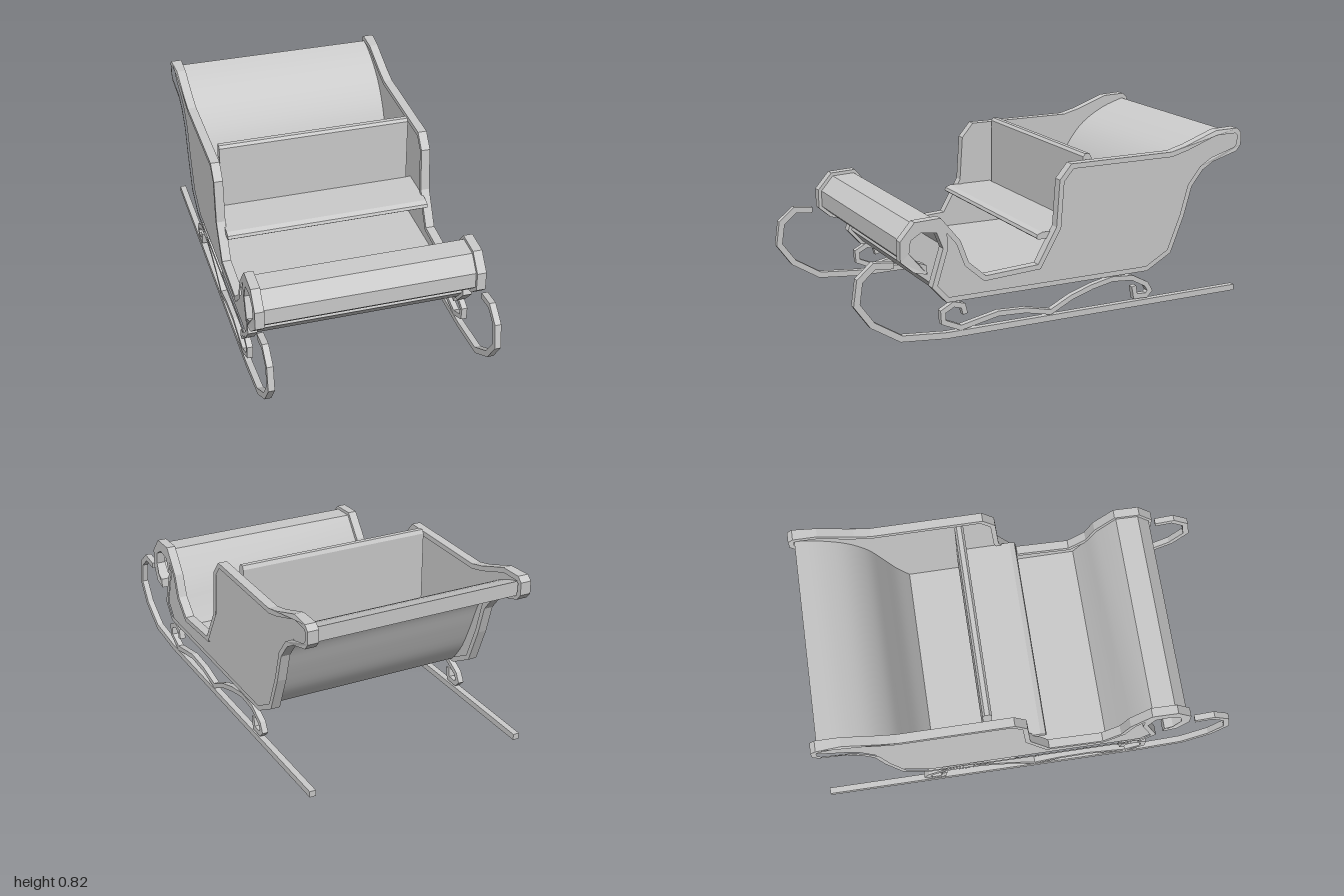
import * as THREE from 'three';
import { toCreasedNormals } from 'three/addons/utils/BufferGeometryUtils.js';

const material = new THREE.MeshStandardMaterial({ color: 0xcccccc });

// Profiles are lists of [z, y]; the side outline runs over the top to the front and back underneath.
const topEdge = [[-1, 0.8], [-0.975, 0.823], [-0.86, 0.82], [-0.69, 0.76], [-0.61, 0.74], [-0.07, 0.74],
  [-0.01, 0.67], [0.005, 0.45], [0.1, 0.285], [0.365, 0.27], [0.45, 0.345], [0.49, 0.45], [0.585, 0.565]];
const frontCurl = [[0.71, 0.56], [0.78, 0.48], [0.78, 0.388], [0.72, 0.335], [0.655, 0.318], [0.66, 0.362],
  [0.7, 0.378], [0.738, 0.42], [0.73, 0.48], [0.68, 0.51], [0.605, 0.5]];
const bottomEdge = [[0.575, 0.425], [0.63, 0.25], [0.56, 0.172], [-0.49, 0.172], [-0.62, 0.245], [-0.69, 0.42],
  [-0.73, 0.56], [-0.79, 0.635], [-0.85, 0.67], [-0.975, 0.71], [-1, 0.74]];
const outline = [...topEdge, ...frontCurl, ...bottomEdge];

// Shifts a path to its right-hand side by d, with mitred corners
function offset(points, d, closed) {
  const n = points.length;
  const normal = (a, b) => {
    const dx = b[0] - a[0], dy = b[1] - a[1], l = Math.hypot(dx, dy);
    return [dy / l, -dx / l];
  };
  return points.map((p, i) => {
    const hasPrev = closed || i > 0, hasNext = closed || i < n - 1;
    const prev = points[(i + n - 1) % n], next = points[(i + 1) % n];
    const a = hasPrev ? normal(prev, p) : normal(p, next);
    const b = hasNext ? normal(p, next) : a;
    const k = d / (1 + a[0] * b[0] + a[1] * b[1]);
    return [p[0] + (a[0] + b[0]) * k, p[1] + (a[1] + b[1]) * k];
  });
}

// Bar of constant width along an open path
const ribbon = (path, width) => [...offset(path, -width / 2, false), ...offset(path, width / 2, false).reverse()];

const smooth = (points, n) => new THREE.SplineCurve(points.map(p => new THREE.Vector2(...p)))
  .getPoints(n).map(p => [p.x, p.y]);

// Extrudes a [z, y] profile across x0..x1
function slab(profile, x0, x1, hole) {
  const vectors = list => list.map(p => new THREE.Vector2(...p));
  const shape = new THREE.Shape(vectors(profile));
  if (hole) shape.holes.push(new THREE.Path(vectors(hole)));
  const geo = new THREE.ExtrudeGeometry(shape, { depth: x1 - x0, bevelEnabled: false });
  return geo.rotateY(-Math.PI / 2).translate(x1, 0, 0);
}

// Widens the trim outwards at the scroll ends
function flare(geo) {
  const p = geo.attributes.position;
  for (let i = 0; i < p.count; i++) {
    const x = p.getX(i), y = p.getY(i), z = p.getZ(i);
    const atEnd = z < -0.87 || (z > 0.64 && y < 0.38);
    if (Math.abs(x) > 0.52 && atEnd) p.setX(i, x + Math.sign(x) * 0.008);
  }
  geo.computeVertexNormals();
  return geo;
}

export function createModel() {
  const model = new THREE.Group();
  const add = (name, geo) => {
    const mesh = new THREE.Mesh(geo, material);
    mesh.name = name;
    model.add(mesh);
  };

  // Shell: curved back, floor and rolled dash in one piece
  const backInside = smooth([[-0.97, 0.797], [-0.85, 0.757], [-0.73, 0.685], [-0.64, 0.58],
    [-0.58, 0.45], [-0.52, 0.31], [-0.46, 0.205]], 24);
  const backOutside = smooth([[-0.48, 0.187], [-0.555, 0.29], [-0.62, 0.43], [-0.675, 0.56],
    [-0.75, 0.65], [-0.84, 0.692], [-0.97, 0.728]], 24);
  const dashInside = [[0.39, 0.21], [0.46, 0.335], [0.5, 0.43]];
  const dashStart = topEdge.length - 1;
  const dashEnd = topEdge.length + frontCurl.length + 3;
  const dashOutside = offset(outline, 0.016, true).slice(dashStart, dashEnd);
  add('shell', toCreasedNormals(
    slab([...backInside, ...dashInside, ...dashOutside, ...backOutside], -0.505, 0.505), 0.45));

  // Plank seat and upright backrest
  add('seat', slab([[0.09, 0.4], [0.085, 0.415], [0.06, 0.425], [-0.17, 0.425], [-0.17, 0.395], [0.08, 0.392]],
    -0.505, 0.505));
  add('seatBack', slab([[-0.167, 0.75], [-0.178, 0.763], [-0.2, 0.763], [-0.21, 0.745],
    [-0.21, 0.39], [-0.167, 0.39]], -0.477, 0.477));

  const panelOutline = offset(outline, 0.005, true);
  const trimHole = offset([...topEdge, ...bottomEdge], 0.024, true);

  // Runner with its upturned front
  const runner = ribbon([[-1, 0.016], [0.56, 0.016], [0.78, 0.036], [0.915, 0.12], [0.986, 0.22],
    [0.97, 0.33], [0.9, 0.388], [0.81, 0.378]], 0.029);

  // Scrolled bracket that carries the body on the runner
  const bracket = ribbon([[0.468, 0.105], [0.478, 0.145], [0.525, 0.158], [0.578, 0.13], [0.575, 0.08],
    [0.49, 0.042], [0.3, 0.08], [0.16, 0.073], [0.03, 0.045], [-0.08, 0.1], [-0.19, 0.135], [-0.3, 0.157],
    [-0.41, 0.148], [-0.49, 0.105], [-0.51, 0.07], [-0.49, 0.05], [-0.43, 0.052], [-0.42, 0.105]], 0.024);

  for (const [side, s] of [['left', 1], ['right', -1]]) {
    const across = (profile, a, b, hole) => slab(profile, Math.min(s * a, s * b), Math.max(s * a, s * b), hole);
    add(side + 'Panel', across(panelOutline, 0.502, 0.53));
    add(side + 'Trim', flare(across(outline, 0.497, 0.541, trimHole)));
    add(side + 'Runner', across(runner, 0.511, 0.541));
    add(side + 'Bracket', across(bracket, 0.512, 0.54));
  }
  return model;
}
